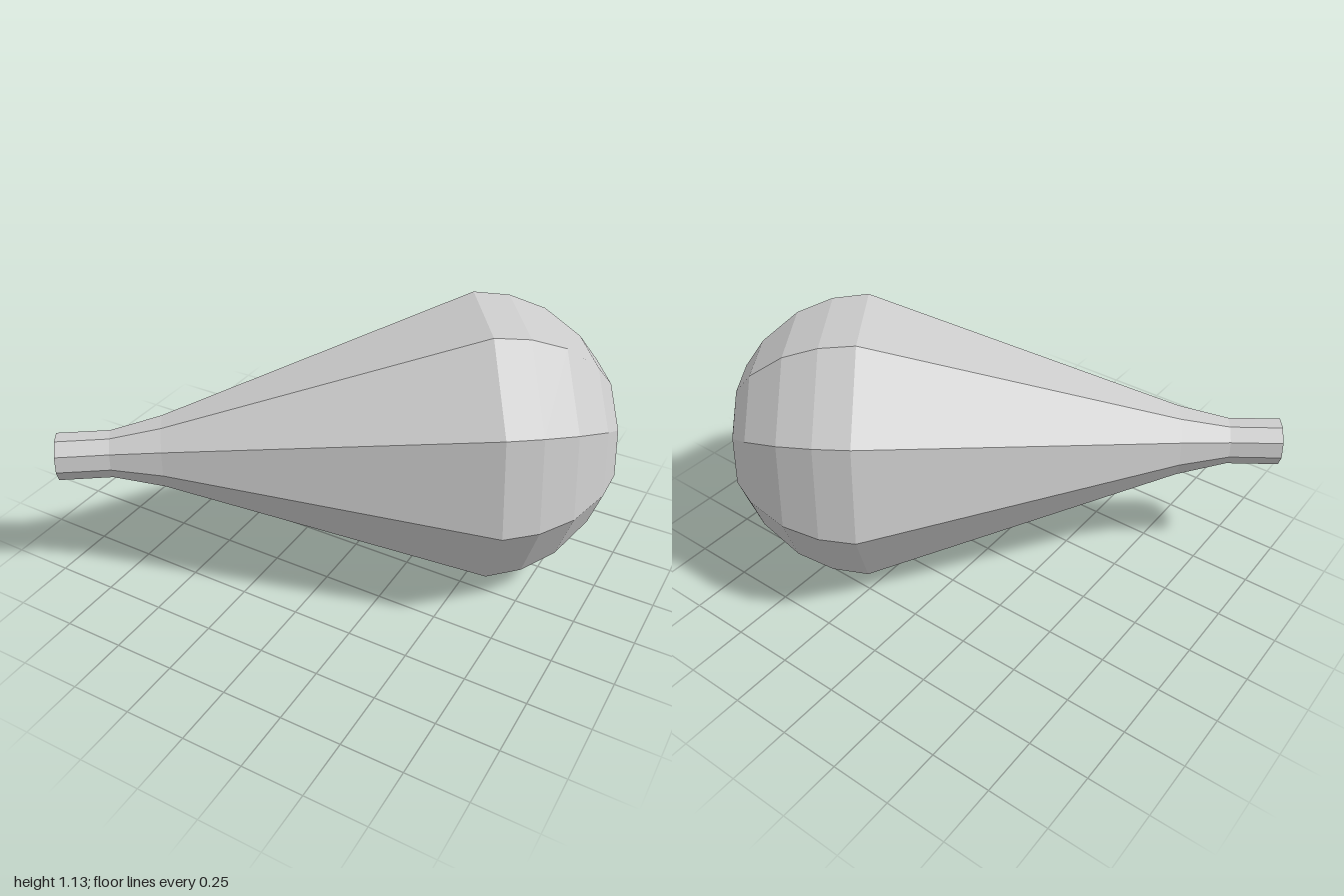
import * as THREE from 'three';

const SIDES = 9;
const R = 0.58; // radius of the rounded bulb

export function createModel() {
  const group = new THREE.Group();
  const material = new THREE.MeshStandardMaterial({
    color: 0xcccccc, flatShading: true, side: THREE.DoubleSide,
  });

  // profile: open neck, flare, then a half-sphere closing the bulb
  const profile = [[0.095, -1.673], [0.095, -1.462], [0.144, -1.257]]
    .map(([r, s]) => new THREE.Vector2(r, s));
  for (const t of [0, 0.25, 0.5, 0.75, 0.875, 1]) {
    profile.push(new THREE.Vector2(R * Math.sqrt(1 - t * t), R * t));
  }

  // lay the turned shape on its side, one corner down, and swing it round
  const geometry = new THREE.LatheGeometry(profile, SIDES);
  geometry.rotateX(Math.PI / 2);
  geometry.rotateY(THREE.MathUtils.degToRad(125));
  geometry.translate(0.425, R, -0.235);

  const bulb = new THREE.Mesh(geometry, material);
  bulb.name = 'bulbWithNeck';
  group.add(bulb);
  return group;
}
